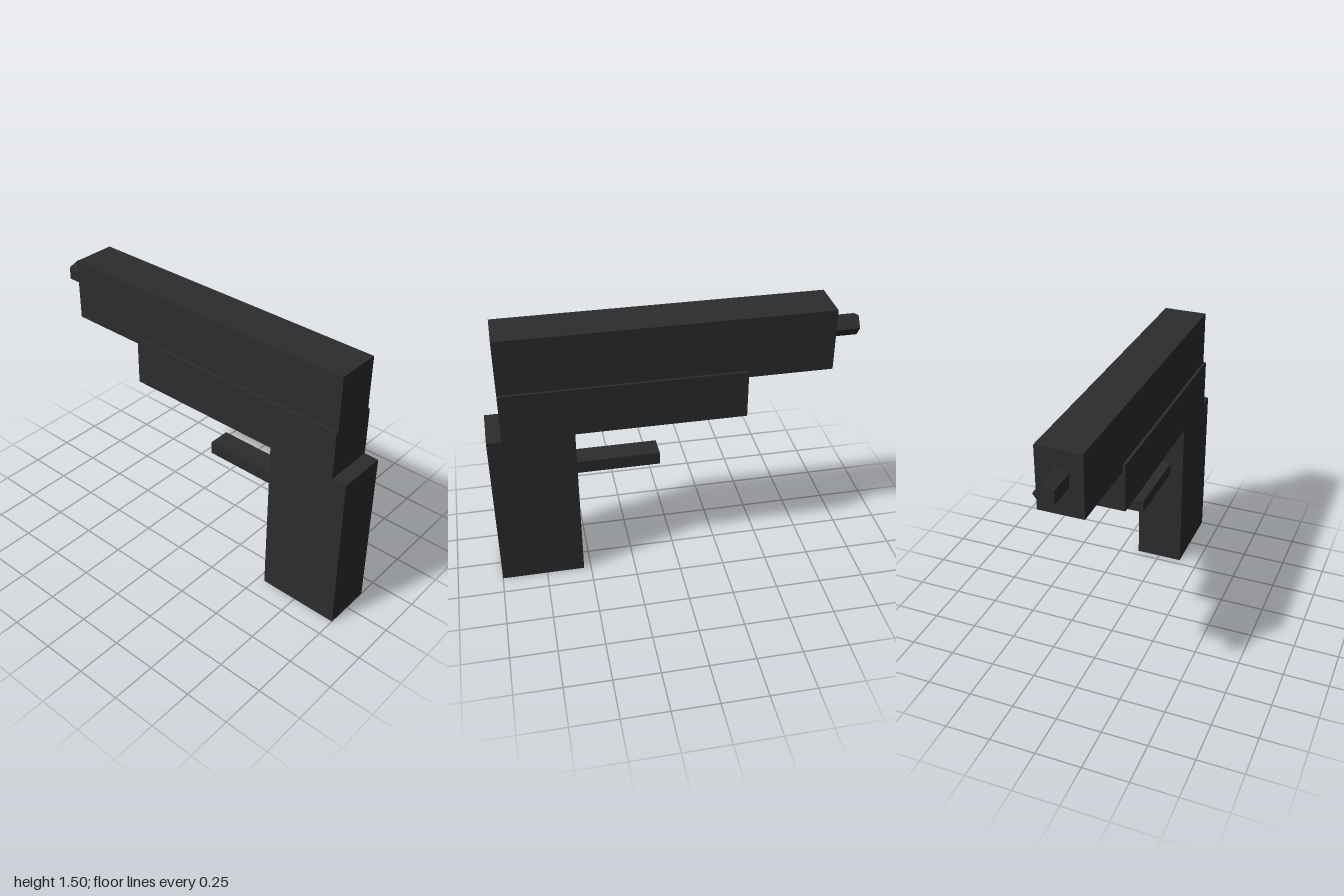
import * as THREE from 'three';

const charcoal = new THREE.MeshStandardMaterial({ color: 0x2d2d2d, side: THREE.DoubleSide, flatShading: true });
charcoal.name = 'charcoal';

// Box centred on x, given its width and its y and z ranges; optionally open underneath
function block(name, width, [y0, y1], [z0, z1], openBottom = false) {
  const geometry = new THREE.BoxGeometry(width, y1 - y0, z1 - z0);
  if (openBottom) {
    const index = Array.from(geometry.index.array);
    index.splice(18, 6); // the downward face
    geometry.setIndex(index);
    geometry.clearGroups();
  }
  geometry.translate(0, (y0 + y1) / 2, (z0 + z1) / 2);
  const mesh = new THREE.Mesh(geometry, charcoal);
  mesh.name = name;
  return mesh;
}

export function createModel() {
  const model = new THREE.Group();
  model.name = 'blockyPistol';

  // Main blocks
  model.add(
    block('slide', 0.244, [1.155, 1.5], [-0.845, 0.92]),
    block('frame', 0.276, [0.925, 1.195], [-0.383, 0.92]),
    block('grip', 0.276, [0, 0.925], [0.54, 1], true),
    block('triggerBar', 0.124, [0.62, 0.692], [0.08, 0.54], true)
  );

  // Five-sided barrel tip with one edge pointing to +x
  const barrelGeometry = new THREE.CylinderGeometry(0.06, 0.06, 0.155, 5);
  barrelGeometry.rotateY(-Math.PI / 2 + Math.PI); // bring a corner to +x
  barrelGeometry.rotateX(-Math.PI / 2);
  barrelGeometry.translate(0, 1.348, -0.9225);
  const barrel = new THREE.Mesh(barrelGeometry, charcoal);
  barrel.name = 'barrel';
  model.add(barrel);

  return model;
}
